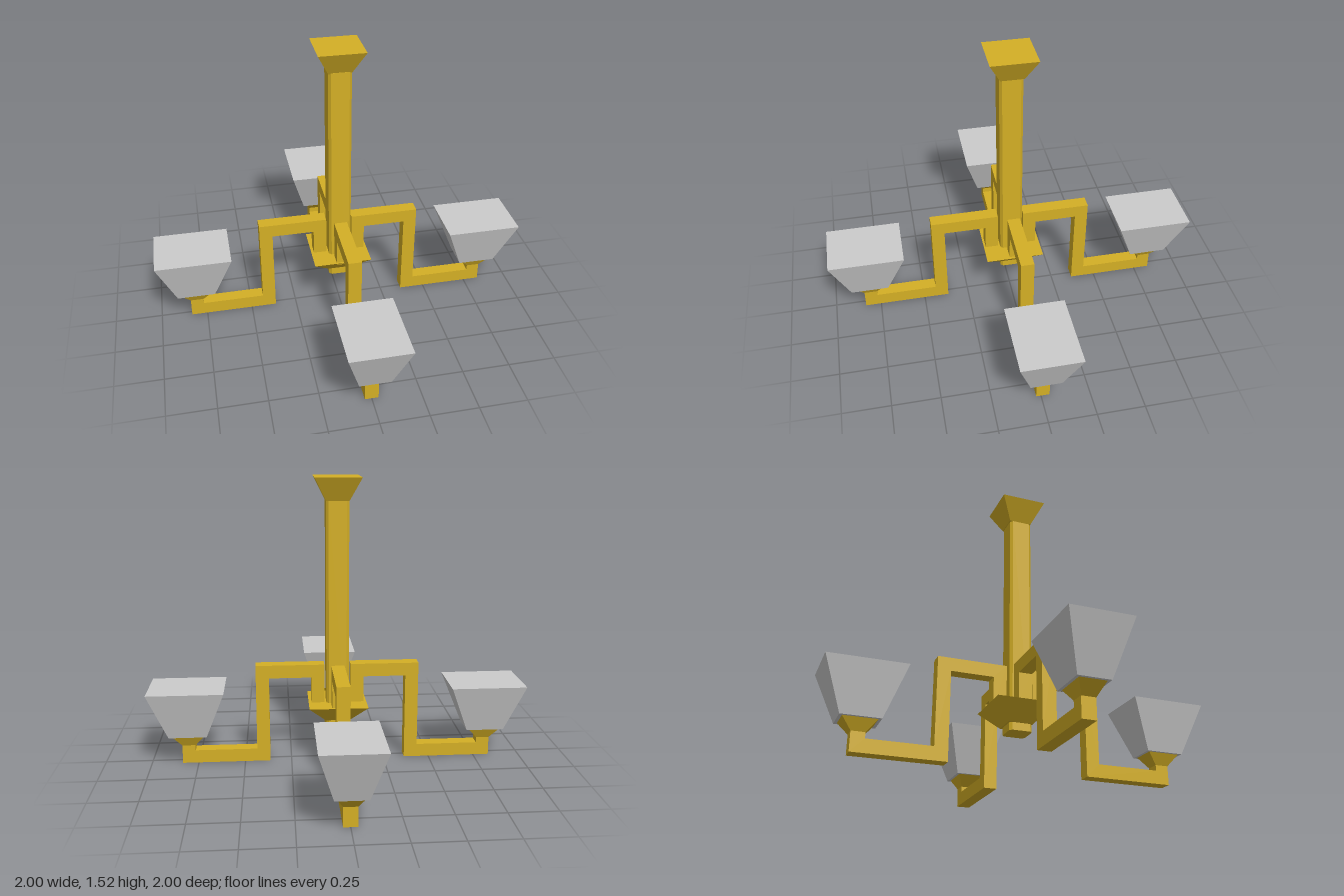
import * as THREE from 'three';

const gold = new THREE.MeshStandardMaterial({ color: 0xd4af25, flatShading: true });
const grey = new THREE.MeshStandardMaterial({ color: 0xcccccc, flatShading: true });

function add(parent, name, geometry, material) {
  const mesh = new THREE.Mesh(geometry, material);
  mesh.name = name;
  parent.add(mesh);
  return mesh;
}

// Four-sided block tapering from a lower to an upper rectangle [width x, depth z]
function taper(y0, [w0, d0], y1, [w1, d1]) {
  const g = new THREE.BoxGeometry(1, 1, 1);
  const p = g.attributes.position;
  for (let i = 0; i < p.count; i++) {
    const top = p.getY(i) > 0;
    p.setXYZ(i, p.getX(i) * (top ? w1 : w0), top ? y1 : y0, p.getZ(i) * (top ? d1 : d0));
  }
  g.computeVertexNormals();
  return g;
}

const polygon = (points) => new THREE.Shape(points.map(([x, y]) => new THREE.Vector2(x, y)));

// One stepped arm reaching along +x, with its lamp holder and shade
function createArm() {
  const arm = new THREE.Group();
  const t = 0.07;
  const profile = polygon([
    [0.07, 0.31], [0.14, 0.31], [0.14, 0.465], [0.365, 0.465], [0.365, 0],
    [0.835, 0], [0.835, 0.105], [0.765, 0.105], [0.765, t], [0.435, t],
    [0.435, 0.535], [0.07, 0.535],
  ]);
  const bar = new THREE.ExtrudeGeometry(profile, { depth: t, bevelEnabled: false });
  bar.translate(0, 0, -t / 2);
  add(arm, 'armBar', bar, gold);

  const holder = add(arm, 'lampHolder', taper(0.1, [0.07, 0.07], 0.16, [0.17, 0.13]), gold);
  const shade = add(arm, 'lampShade', taper(0.16, [0.2, 0.16], 0.42, [0.4, 0.31]), grey);
  holder.position.x = shade.position.x = 0.8;
  return arm;
}

export function createModel() {
  const model = new THREE.Group();
  model.name = 'chandelier';

  // Square column with chamfered corners
  const a = 0.06, b = 0.047;
  const section = polygon([[a, -b], [a, b], [b, a], [-b, a], [-a, b], [-a, -b], [-b, -a], [b, -a]]);
  const column = new THREE.ExtrudeGeometry(section, { depth: 1.215, bevelEnabled: false });
  column.rotateX(-Math.PI / 2);
  column.translate(0, 0.19, 0);
  add(model, 'column', column, gold);

  // Flared ceiling mount and tapered hub under the arms
  add(model, 'ceilingMount', taper(1.4, [0.12, 0.12], 1.52, [0.24, 0.24]), gold).position.z = -0.004;
  add(model, 'hub', taper(0.23, [0.13, 0.13], 0.325, [0.31, 0.31]), gold).position.z = -0.004;

  // Four arms: left, back, right, front
  ['leftArm', 'backArm', 'rightArm', 'frontArm'].forEach((name, i) => {
    const arm = createArm();
    arm.name = name;
    arm.rotation.y = (i * Math.PI) / 2;
    if (i % 2 === 0) arm.position.z = -0.01;
    model.add(arm);
  });

  return model;
}
